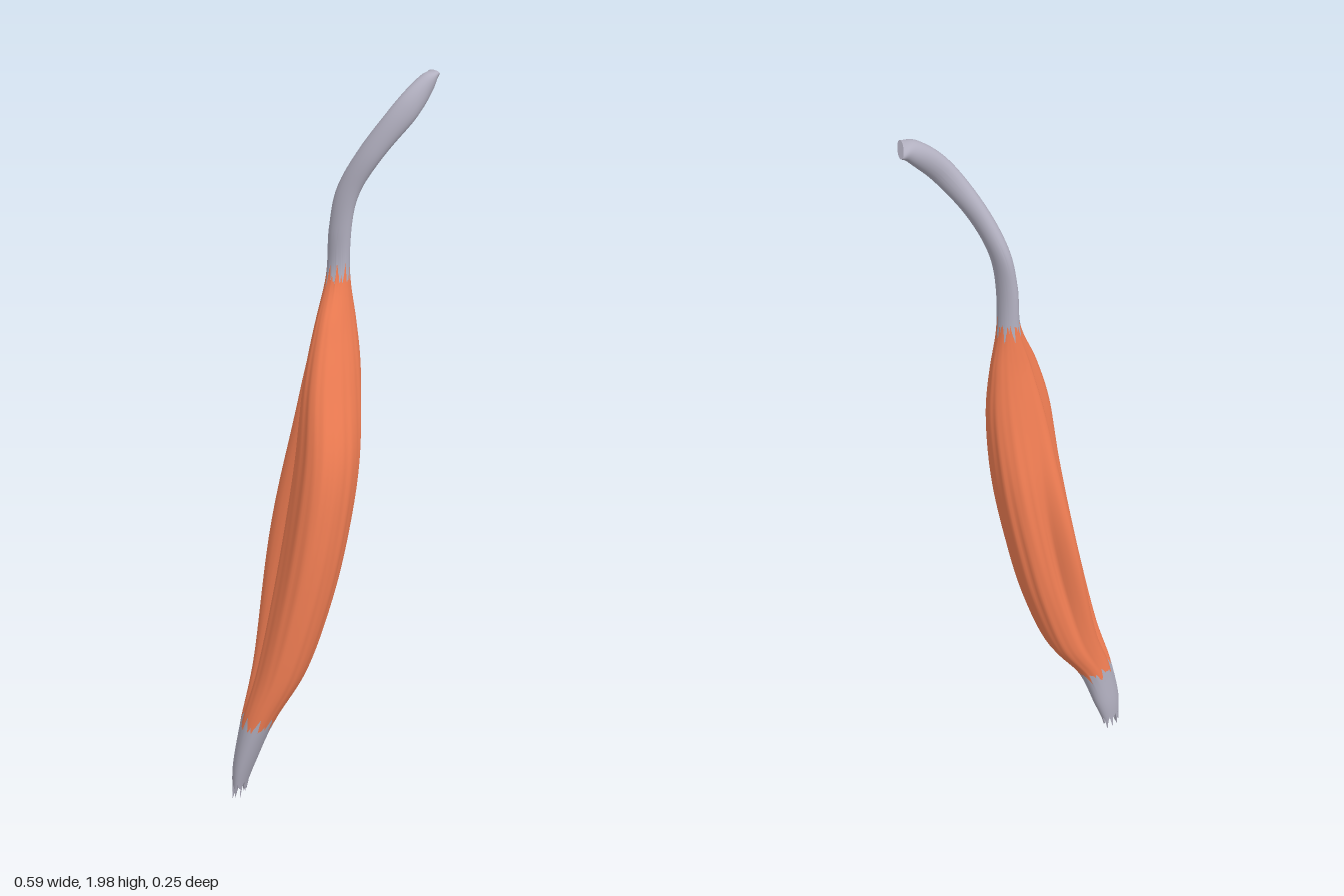
import * as THREE from 'three';

// Stations from bottom to top: centre x, y, z, half width x, half depth z, tilt of the ring
const STATIONS = [
  [-0.27, 0.03, -0.038, 0.026, 0.024, 0],
  [-0.252, 0.12, -0.032, 0.042, 0.04, 0],
  [-0.215, 0.25, -0.018, 0.054, 0.058, 0],
  [-0.145, 0.4, -0.01, 0.082, 0.09, 0],
  [-0.088, 0.6, -0.003, 0.096, 0.113, 0],
  [-0.046, 0.8, 0.002, 0.1, 0.122, 0],
  [-0.013, 1.0, 0.003, 0.099, 0.114, 0],
  [0.01, 1.2, -0.008, 0.09, 0.078, 0],
  [0.027, 1.35, -0.02, 0.065, 0.05, 0],
  [0.042, 1.48, -0.031, 0.03, 0.031, 0],
  [0.046, 1.6, -0.028, 0.025, 0.028, 0],
  [0.064, 1.7, -0.018, 0.024, 0.031, 0.2],
  [0.11, 1.8, 0.018, 0.024, 0.031, 0.5],
  [0.182, 1.9, 0.053, 0.024, 0.025, 0.9],
  [0.25, 1.965, 0.048, 0.015, 0.026, 1.5],
  [0.286, 1.987, 0.028, 0.008, 0.033, 1.3],
];
const LAST = STATIONS.length - 1;
const SEGMENTS = 96;

const spline = (i) => new THREE.CatmullRomCurve3(
  STATIONS.map((s) => new THREE.Vector3(s[i], s[i + 1], s[i + 2])), false, 'catmullrom', 0.5);
const centres = spline(0);
const sizes = spline(3);

const bell = (x, width) => Math.exp(-((x / width) ** 2));

// Bell around an angle
const around = (angle, at, width) =>
  bell(Math.atan2(Math.sin(angle - at), Math.cos(angle - at)), width);

// Diagonal lean of the cross-section along the length
function skewAt(u) {
  if (u < 2) return -0.28 - 0.2 * (2 - u);
  if (u > 13) return 0.3 - 0.45 * (u - 13);
  return -0.28 + 0.58 * THREE.MathUtils.smoothstep(u, 8, 9.8);
}

// Point on the skin at station u and angle a
function skin(u, a) {
  const t = THREE.MathUtils.clamp(u / LAST, 0, 1);
  const c = centres.getPoint(t);
  const s = sizes.getPoint(t);
  const swell = u > 1.5 && u < 9.3 ? Math.sin(Math.PI * (u - 1.5) / 7.8) : 0;
  const r = 1
    - swell * 0.28 * around(a, 3.7 + 0.03 * (u - 4), 0.17)        // long cleft
    - swell * 0.14 * bell(u - 4.6, 1.6) * around(a, 4.6, 0.15)    // short cleft on the back
    + 0.36 * bell(u - 4.8, 2) * around(a, 4.13, 0.25)             // ridge between the clefts
    + 0.12 * bell(u - 5.5, 2.2) * around(a, 2.5, 0.45)            // full front corner
    + swell * 0.012 * (Math.sin(13 * a + 0.5 * u) + 0.7 * Math.sin(22 * a - 0.7 * u)); // fibres
  const dx = s.x * r * Math.cos(a);
  return [c.x + dx, c.y - s.z * dx, c.z + s.y * r * Math.sin(a + skewAt(u))];
}

// Jagged, periodic edge between -1 and 1
const jag = (a) => 0.45 * Math.sin(9 * a) + 0.35 * Math.sin(17 * a + 1) + 0.2 * Math.sin(31 * a + 2);

const lowerEdge = (a) => 2 + 0.22 * jag(a);
const upperEdge = (a) => 9 + 0.3 * jag(a + 0.8);
const frayedEnd = (a) => 0.25 + 0.25 * jag(a + 2);

// Skin between two edges, with optional closed ends
function loft(name, from, to, rows, color, capBottom, capTop) {
  const pos = [];
  const index = [];
  for (let j = 0; j <= rows; j++) {
    for (let i = 0; i < SEGMENTS; i++) {
      const a = (i / SEGMENTS) * Math.PI * 2;
      const p = skin(THREE.MathUtils.lerp(from(a), to(a), j / rows), a);
      if (capBottom && j === 0) p[1] -= 0.025 * Math.max(0, -jag(a + 2)); // loose strands
      pos.push(...p);
    }
  }
  for (let j = 0; j < rows; j++) {
    for (let i = 0; i < SEGMENTS; i++) {
      const a = j * SEGMENTS + i;
      const b = j * SEGMENTS + (i + 1) % SEGMENTS;
      index.push(a, a + SEGMENTS, b, b, a + SEGMENTS, b + SEGMENTS);
    }
  }
  const cap = (row, u, up) => {
    const ring = pos.slice(row * SEGMENTS * 3, (row + 1) * SEGMENTS * 3);
    const first = pos.length / 3;
    pos.push(...ring, ...centres.getPoint(u / LAST).toArray());
    for (let i = 0; i < SEGMENTS; i++) {
      const a = first + i;
      const b = first + (i + 1) % SEGMENTS;
      index.push(first + SEGMENTS, up ? a : b, up ? b : a);
    }
  };
  if (capBottom) cap(0, 0.4, true);
  if (capTop) cap(rows, LAST, false);

  const geometry = new THREE.BufferGeometry();
  geometry.setAttribute('position', new THREE.Float32BufferAttribute(pos, 3));
  geometry.setIndex(index);
  geometry.computeVertexNormals();
  const mesh = new THREE.Mesh(geometry,
    new THREE.MeshStandardMaterial({ color, side: THREE.DoubleSide }));
  mesh.name = name;
  return mesh;
}

export function createModel() {
  const model = new THREE.Group();
  model.name = 'muscle';
  model.add(
    loft('lowerTendon', frayedEnd, lowerEdge, 14, 0xb2b0c0, true, false),
    loft('muscleBelly', lowerEdge, upperEdge, 64, 0xf58055, false, false),
    loft('upperTendon', upperEdge, () => LAST, 48, 0xb2b0c0, false, true),
  );
  return model;
}
